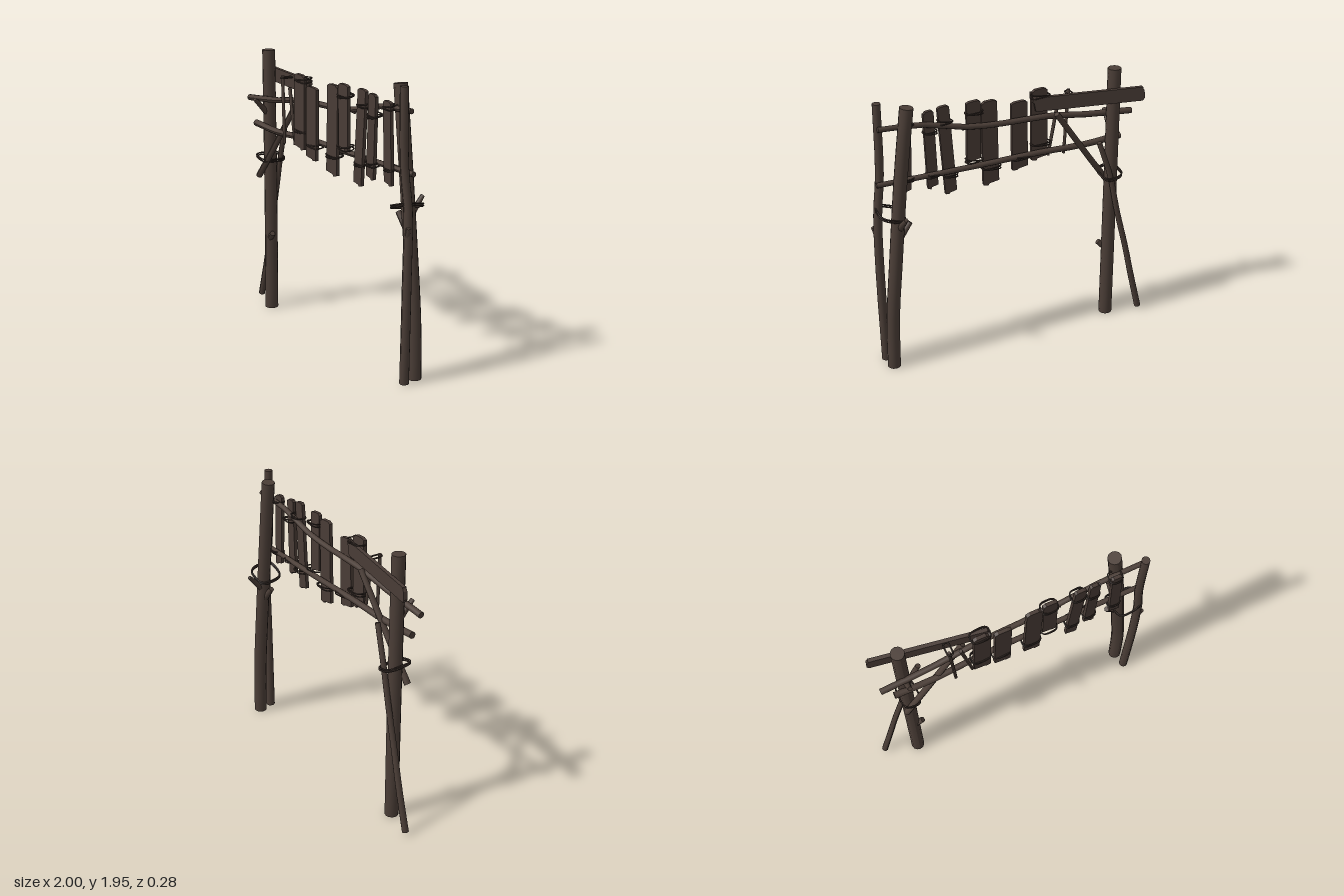
import * as THREE from 'three';

const wood = new THREE.MeshStandardMaterial({ color: 0x4b3e37 });
wood.name = 'bark brown';
const board = new THREE.MeshStandardMaterial({ color: 0x493c36 });
board.name = 'board brown';
const rope = new THREE.MeshStandardMaterial({ color: 0x3b302b });
rope.name = 'rope brown';

const vec = (p) => new THREE.Vector3(...p);

export function createModel() {
  const group = new THREE.Group();

  const add = (name, geometry, material) => {
    const mesh = new THREE.Mesh(geometry, material);
    mesh.name = name;
    group.add(mesh);
    return mesh;
  };

  // A round pole whose rings follow a curve, tapering from r0 to r1
  const pole = (name, points, r0, r1 = r0, sides = 12) => {
    const curve = new THREE.CatmullRomCurve3(points.map(vec));
    const geo = new THREE.CylinderGeometry(1, 1, 1, sides, points.length > 2 ? 12 : 1);
    const pos = geo.attributes.position;
    const up = new THREE.Vector3(0, 1, 0);
    const q = new THREE.Quaternion();
    const v = new THREE.Vector3();
    for (let i = 0; i < pos.count; i++) {
      const t = THREE.MathUtils.clamp(pos.getY(i) + 0.5, 0, 1);
      const r = THREE.MathUtils.lerp(r0, r1, t);
      q.setFromUnitVectors(up, curve.getTangent(t));
      v.set(pos.getX(i) * r, 0, pos.getZ(i) * r).applyQuaternion(q).add(curve.getPoint(t));
      pos.setXYZ(i, v.x, v.y, v.z);
    }
    geo.computeVertexNormals();
    return add(name, geo, wood);
  };

  // A closed loop of rope, nearly rectangular, rising by 'rise' from -x to +x
  const lashing = (name, x, y, z, rx, rz, rise = 0, depthRise = 0, thick = 0.006) => {
    const pts = [];
    for (let i = 0; i < 16; i++) {
      const a = (i / 16) * Math.PI * 2;
      const c = Math.sign(Math.cos(a)) * Math.abs(Math.cos(a)) ** 0.6;
      const s = Math.sign(Math.sin(a)) * Math.abs(Math.sin(a)) ** 0.6;
      pts.push(new THREE.Vector3(x + c * rx, y + (c * rise) / 2 + (s * depthRise) / 2, z + s * rz));
    }
    const curve = new THREE.CatmullRomCurve3(pts, true);
    add(name, new THREE.TubeGeometry(curve, 40, thick, 5, true), rope);
  };

  // A rough-sawn board from its top centre to its bottom centre, with split ends
  const slat = (name, [tx, ty], [bx, by], w, z, notch, thick = 0.025) => {
    const h = w / 2;
    const shape = new THREE.Shape([
      [bx - h, by + 0.018], [bx + h * 0.25, by + 0.006], [bx + h * 0.4, by - notch * 0.3],
      [bx + h, by], [tx + h, ty - 0.012], [tx + h * 0.8, ty - notch * 0.5],
      [tx + h * 0.5, ty], [tx - h * 0.6, ty + 0.004], [tx - h, ty - 0.008],
    ].map((p) => new THREE.Vector2(...p)));
    const geo = new THREE.ExtrudeGeometry(shape, { depth: thick, bevelEnabled: false });
    geo.translate(0, 0, z - thick / 2);
    return add(name, geo, board);
  };

  // Uprights
  pole('leftPost', [[-0.74, 0, 0], [-0.738, 0.9, -0.003], [-0.738, 1.945, 0]], 0.048, 0.046);
  pole('rightPost', [[0.927, 0, -0.01], [0.915, 0.4, -0.008], [0.877, 0.8, -0.006],
    [0.815, 1.4, 0], [0.75, 1.93, 0]], 0.046, 0.046);
  pole('rightThinPost', [[0.948, 0, 0.095], [0.957, 0.7, 0.095], [0.952, 1.15, 0.09],
    [0.92, 1.45, 0.1], [0.914, 1.945, 0.105]], 0.032, 0.028);

  // Cut branch stubs
  pole('leftPostStub', [[-0.75, 0.52, 0.01], [-0.672, 0.595, 0.03]], 0.026, 0.02, 8);
  pole('leftPostFrontStub', [[-0.735, 1.49, 0.02], [-0.735, 1.6, 0.125]], 0.024, 0.015, 8);
  pole('rightPostStub', [[0.84, 0.99, 0], [0.757, 1.1, 0.01]], 0.024, 0.019, 8);
  pole('rightPostBackStub', [[0.84, 1.08, -0.02], [0.83, 1.2, -0.13]], 0.024, 0.014, 8);
  pole('thinPostStub', [[0.95, 0.96, 0.095], [0.982, 1.06, 0.11]], 0.022, 0.015, 8);

  // Braces beside the left post
  pole('longBrace', [[-0.978, 0.02, -0.065], [-0.9, 0.33, -0.07], [-0.845, 0.57, -0.07],
    [-0.765, 0.88, -0.068], [-0.7, 1.17, -0.068], [-0.612, 1.435, -0.055]], 0.023, 0.018, 10);
  pole('shortBrace', [[-0.78, 1.02, 0.07], [-0.6, 1.27, 0.05], [-0.32, 1.675, 0.02]], 0.023, 0.02, 10);

  // Crossing rails
  pole('upperRail', [[-0.91, 1.58, 0.055], [-0.55, 1.615, 0.055], [-0.26, 1.66, 0.048],
    [0.06, 1.67, 0.045], [0.33, 1.695, 0.045], [0.62, 1.765, 0.05], [0.93, 1.785, 0.055]], 0.022, 0.018, 10);
  pole('lowerRail', [[-0.83, 1.405, 0.055], [-0.55, 1.387, 0.055], [-0.2, 1.4, 0.045],
    [0.3, 1.395, 0.045], [0.96, 1.392, 0.055]], 0.024, 0.018, 10);
  pole('upperRailTwig', [[0.3, 1.685, 0.045], [0.355, 1.68, 0.055]], 0.012, 0.01, 6);

  // Sloping top board, running from behind the left post to the front slats
  const topBoard = slat('topBoard', [0, 0.39], [0, -0.39], 0.1, 0, 0.02, 0.026);
  topBoard.rotation.set(0, -0.175, Math.PI / 2, 'YXZ');
  topBoard.position.set(-0.54, 1.763, -0.02);

  // Hanging slats: top, bottom, width, depth, end notch, heights of their lashings
  const slats = [
    [[-0.215, 1.85], [-0.222, 1.335], 0.118, 0.088, 0.03, [1.465, 1.82]],
    [[-0.07, 1.785], [-0.078, 1.285], 0.116, 0.09, 0.01, [1.39]],
    [[0.155, 1.835], [0.142, 1.225], 0.115, 0.078, 0.03, [1.36]],
    [[0.265, 1.855], [0.268, 1.42], 0.1, 0.075, 0.01, [1.44, 1.785]],
    [[0.475, 1.855], [0.433, 1.215], 0.082, 0.082, 0.01, [1.365, 1.76]],
    [[0.58, 1.84], [0.562, 1.285], 0.074, 0.08, 0.03, [1.39, 1.705]],
    [[0.733, 1.82], [0.752, 1.285], 0.074, 0.084, 0.01, [1.395, 1.79]],
  ];
  slats.forEach(([top, bottom, w, z, notch, ties], i) => {
    slat(`slat${i + 1}`, top, bottom, w, z, notch);
    ties.forEach((y, j) => {
      const x = THREE.MathUtils.mapLinear(y, bottom[1], top[1], bottom[0], top[0]);
      const rise = (i + j) % 2 ? 0.012 : -0.008;
      lashing(`slatLashing${i + 1}`, x, y, 0.064, w / 2 + 0.007, 0.042, rise, -0.012, 0.005);
      lashing(`slatLashing${i + 1}`, x, y - 0.012, 0.064, w / 2 + 0.007, 0.042, -rise, -0.012, 0.005);
    });
  });

  // Two thin sticks tied over the rails
  pole('outerStick', [[-0.437, 1.81, 0.085], [-0.412, 1.335, 0.09]], 0.012, 0.011, 7);
  pole('innerStick', [[-0.358, 1.74, 0.08], [-0.29, 1.345, 0.085]], 0.013, 0.011, 7);
  lashing('stickLashing', -0.43, 1.795, 0.055, 0.02, 0.045);

  // Ropes binding the posts to their neighbours
  for (const dy of [0, 0.014]) {
    lashing('leftPostLashing', -0.73, 1.155 + dy, 0, 0.065, 0.1, -0.03, 0.01);
    lashing('rightPostLashing', 0.88, 1.165 + dy, 0.04, 0.09, 0.09, 0.06, 0.03);
  }

  return group;
}
